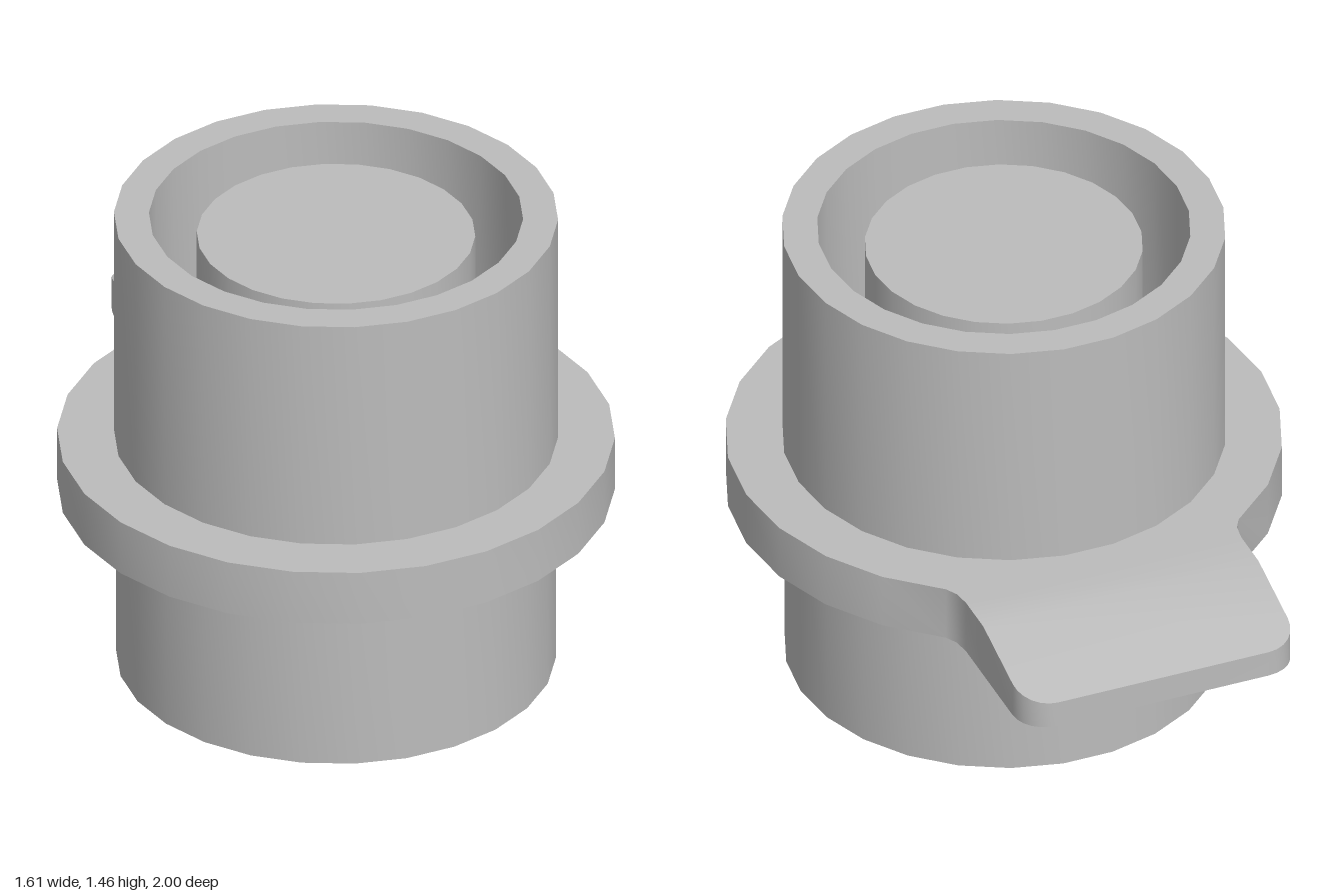
import * as THREE from 'three';
import { mergeGeometries, toCreasedNormals } from 'three/addons/utils/BufferGeometryUtils.js';

const SIDES = 26, CENTER_Z = 0.197;
const FLANGE_BOTTOM = 0.565, FLANGE_TOP = 0.735, FLANGE_R = 0.805;

// Extrude a plan outline (x, -z) upward to the flange thickness.
function slab(points) {
  const shape = new THREE.Shape(points.map(([x, y]) => new THREE.Vector2(x, y)));
  const geo = new THREE.ExtrudeGeometry(shape, {
    depth: FLANGE_TOP - FLANGE_BOTTOM, bevelEnabled: false,
  });
  return geo.rotateX(-Math.PI / 2).translate(0, FLANGE_BOTTOM, 0);
}

// Add the mirrored left half to a right-hand chain of points.
const mirror = (half) => [...half, ...half.map(([x, y]) => [-x, y]).reverse()];

function flangeGeometry() {
  const w = 0.43, neck = 0.55, bend = 0.68, r = 0.1;

  // Faceted disc, opening into the filleted root of the tab
  const ring = [];
  for (let i = -6; i <= 4; i++) {
    const a = (i * 2 * Math.PI) / SIDES;
    ring.push([FLANGE_R * Math.cos(a), FLANGE_R * Math.sin(a) - CENTER_Z]);
  }
  const disc = slab(mirror([...ring, [0.438, 0.5], [w, neck]]));

  // Flat part of the tab
  const flat = slab(mirror([[w, neck], [w, bend]]));

  // Sloping tip with rounded corners
  const corner = [];
  for (let i = 0; i <= 6; i++) {
    const a = (i * Math.PI) / 12;
    corner.push([w - r + r * Math.cos(a), 1 - r + r * Math.sin(a)]);
  }
  const tip = slab(mirror([[w, bend], ...corner]));
  const p = tip.attributes.position;
  for (let i = 0; i < p.count; i++) {
    if (p.getY(i) > FLANGE_TOP - 0.01) {
      p.setY(i, FLANGE_TOP - 0.088 * (-p.getZ(i) - bend) / (1 - bend));
    }
  }
  return toCreasedNormals(mergeGeometries([disc, flat, tip]), 0.5);
}

// Turned part around the vertical axis with sharp rims
function turned(profile) {
  const pts = profile.map(([x, y]) => new THREE.Vector2(x, y));
  const geo = new THREE.LatheGeometry(pts, SIDES, Math.PI / 2);
  return toCreasedNormals(geo, 0.5).translate(0, 0, CENTER_Z);
}

export function createModel() {
  const group = new THREE.Group();
  const grey = new THREE.MeshStandardMaterial({ name: 'grey', color: 0xbcbcbc });
  const add = (name, geo) => {
    const mesh = new THREE.Mesh(geo, grey);
    mesh.name = name;
    group.add(mesh);
  };

  add('lowerPlug', turned([[0, 0], [0.635, 0], [0.635, 0.6]]));
  // Upper cup: outer wall, rim, deep ring groove and central post
  add('upperCup', turned([
    [0.641, 0.6], [0.641, 1.46], [0.54, 1.46], [0.54, 0.74],
    [0.402, 0.74], [0.402, 1.4], [0, 1.4],
  ]));
  add('flangeWithTab', flangeGeometry());
  return group;
}
